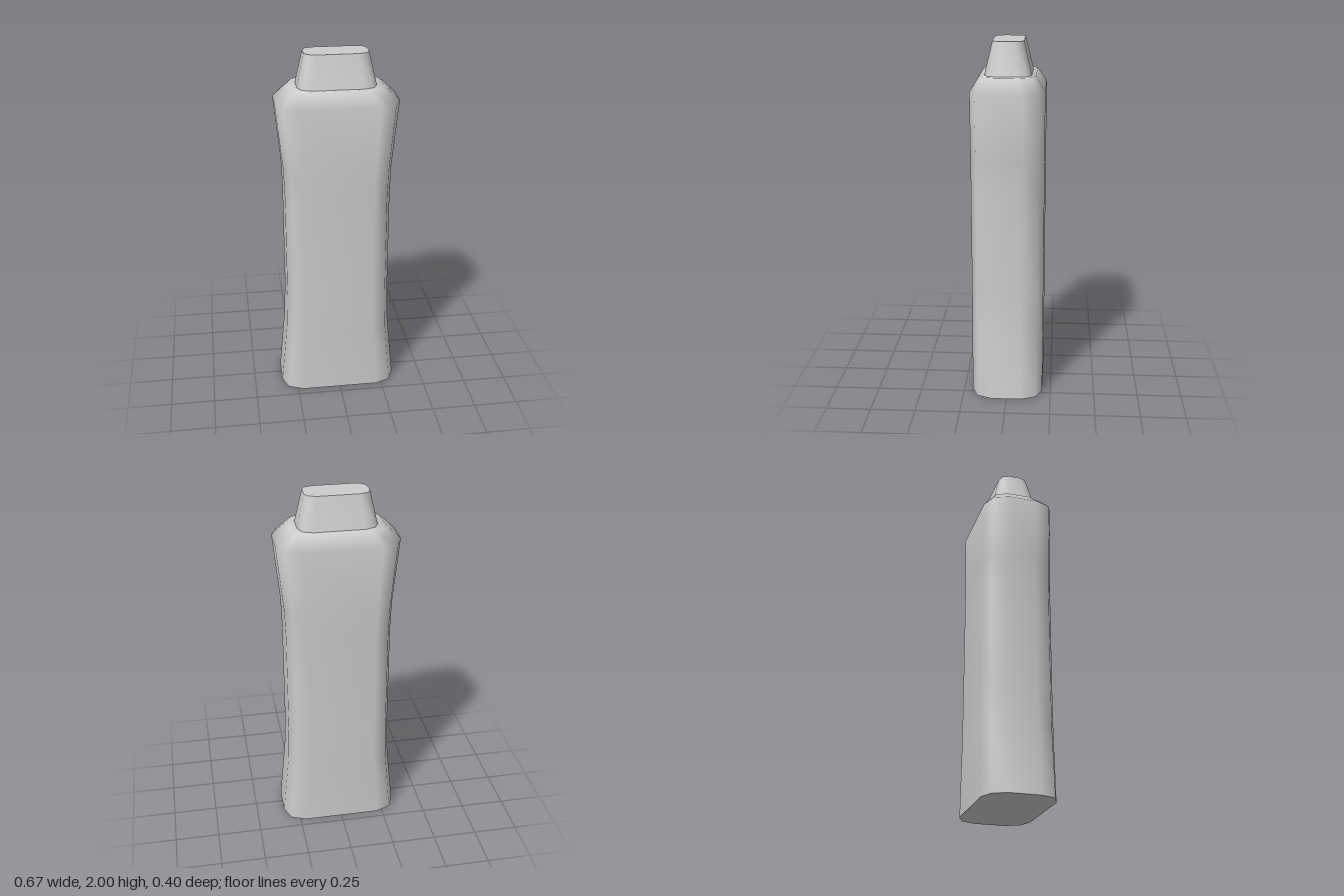
import * as THREE from 'three';

// Quarter of the bevelled rectangular outline, as fractions of the half width and half depth
const QUARTER = [[1, 0.42], [0.9, 0.83], [0.65, 1]];
const back = [...QUARTER].reverse();
const OUTLINE = [
  ...QUARTER,
  ...back.map(([x, z]) => [-x, z]),
  ...QUARTER.map(([x, z]) => [-x, -z]),
  ...back.map(([x, z]) => [x, -z]),
];
const N = OUTLINE.length;

function makeGeometry(points, index) {
  const geometry = new THREE.BufferGeometry();
  geometry.setAttribute('position', new THREE.Float32BufferAttribute(points, 3));
  geometry.setIndex(index);
  geometry.computeVertexNormals();
  return geometry;
}

const ring = ([y, hx, hz]) => OUTLINE.flatMap(([x, z]) => [x * hx, y, z * hz]);

// Smooth wall through levels of [height, half width, half depth]
function wall(levels) {
  const index = [];
  for (let l = 0; l < levels.length - 1; l++) {
    for (let i = 0; i < N; i++) {
      const a = l * N + i, b = l * N + (i + 1) % N;
      index.push(a, a + N, b + N, a, b + N, b);
    }
  }
  return makeGeometry(levels.flatMap(ring), index);
}

// Flat end face
function endFace(level, up) {
  const index = [];
  for (let i = 1; i < N - 1; i++) index.push(0, ...(up ? [i + 1, i] : [i, i + 1]));
  return makeGeometry(ring(level), index);
}

export function createModel() {
  const model = new THREE.Group();
  model.name = 'bottle';
  const grey = new THREE.MeshStandardMaterial({ color: 0xcccccc });
  grey.name = 'light grey';

  const add = (name, geometry) => {
    const mesh = new THREE.Mesh(geometry, grey);
    mesh.name = name;
    model.add(mesh);
  };

  // Waisted body with sloping shoulders; the last ring tucks under the cap
  const body = [
    [0, 0.337, 0.202],
    [0.38, 0.301, 0.202],
    [0.6, 0.294, 0.202],
    [1.2, 0.294, 0.202],
    [1.37, 0.3, 0.202],
    [1.74, 0.337, 0.202],
    [1.82, 0.252, 0.152],
    [1.82, 0.19, 0.11],
  ];
  add('body', wall(body));
  add('base', endFace(body[0], false));

  // Tapered cap
  const cap = [[1.82, 0.215, 0.128], [2, 0.175, 0.085]];
  add('capSide', wall(cap));
  add('capTop', endFace(cap[1], true));

  return model;
}
